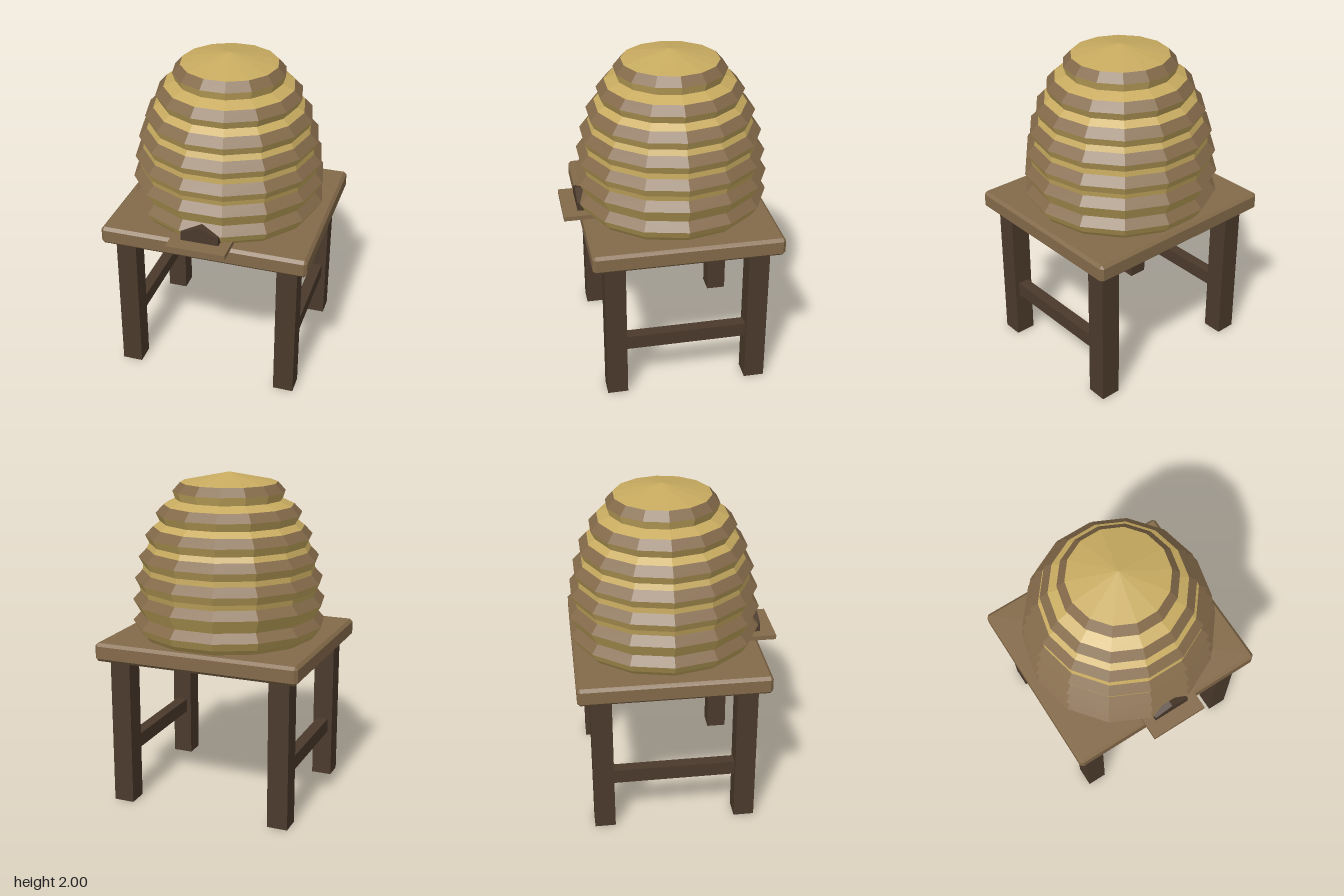
import * as THREE from 'three';
import { ConvexGeometry } from 'three/addons/geometries/ConvexGeometry.js';

const SIDES = 14;
const CENTRE_Z = -0.053;

const straw = new THREE.MeshStandardMaterial({ color: 0xc8ab60 });
straw.name = 'straw';
const wood = new THREE.MeshStandardMaterial({ color: 0x846a4a });
wood.name = 'wood';
const darkWood = new THREE.MeshStandardMaterial({ color: 0x4b3a2c });
darkWood.name = 'darkWood';

function add(parent, name, geometry, material, x = 0, y = 0, z = 0) {
  const mesh = new THREE.Mesh(geometry, material);
  mesh.name = name;
  mesh.position.set(x, y, z);
  parent.add(mesh);
  return mesh;
}

// Faceted ring between two heights, with a corner pointing along +x
function band(rTop, yTop, rBottom, yBottom) {
  const g = new THREE.CylinderGeometry(rTop, rBottom, yTop - yBottom, SIDES, 1, true)
    .rotateY(Math.PI / 2)
    .translate(0, (yTop + yBottom) / 2, 0)
    .toNonIndexed();
  g.computeVertexNormals();
  return g;
}

// Box with every edge cut back by c
function chamferedBox(w, h, d, c) {
  const points = [];
  for (const sx of [-1, 1]) for (const sy of [-1, 1]) for (const sz of [-1, 1]) {
    for (let axis = 0; axis < 3; axis++) {
      const cut = [c, c, c];
      cut[axis] = 0;
      points.push(new THREE.Vector3(sx * (w / 2 - cut[0]), sy * (h / 2 - cut[1]), sz * (d / 2 - cut[2])));
    }
  }
  return new ConvexGeometry(points);
}

function buildHive() {
  const hive = new THREE.Group();
  hive.name = 'hive';
  hive.position.z = CENTRE_Z;

  // Each coil: [upper radius, widest radius, notch radius]
  const coils = [
    [0.292, 0.338, 0.322],
    [0.392, 0.44, 0.416],
    [0.456, 0.505, 0.482],
    [0.498, 0.547, 0.522],
    [0.525, 0.573, 0.548],
    [0.54, 0.587, 0.56],
    [0.542, 0.588, 0.56],
  ];
  const top = 1.94, step = 0.1312;

  add(hive, 'crown', band(0, 2, coils[0][0], top), straw);
  coils.forEach(([upper, wide, notch], i) => {
    const y = top - i * step;
    const next = coils[i + 1] ? coils[i + 1][0] : 0.53;
    const nextY = coils[i + 1] ? y - step : 1.02;
    add(hive, 'coilTop', band(upper, y, wide, y - 0.051), wood);
    add(hive, 'coilUnderside', band(wide, y - 0.051, notch, y - 0.099), straw);
    add(hive, 'coilJoint', band(notch, y - 0.099, next, nextY), straw);
  });
  return hive;
}

function buildEntrance() {
  const entrance = new THREE.Group();
  entrance.name = 'entrance';

  add(entrance, 'landingBoard', new THREE.BoxGeometry(0.36, 0.028, 0.225), wood, 0, 1.036, 0.513);

  // Doorway block with a pointed top
  const outline = new THREE.Shape([
    [-0.115, 1.04], [0.115, 1.04], [0.115, 1.103], [0, 1.147], [-0.115, 1.103],
  ].map(([x, y]) => new THREE.Vector2(x, y)));
  const doorway = new THREE.ExtrudeGeometry(outline, { depth: 0.1, bevelEnabled: false });
  add(entrance, 'doorway', doorway, darkWood, 0, 0, 0.436);
  return entrance;
}

function buildStand() {
  const stand = new THREE.Group();
  stand.name = 'stand';

  add(stand, 'tabletop', chamferedBox(1.266, 0.112, 1.134, 0.018), wood, 0, 0.967, CENTRE_Z);

  const frontZ = 0.38, backZ = -0.483;
  for (const side of [-1, 1]) {
    const x = side * 0.503;
    for (const [name, z] of [['frontLeg', frontZ], ['backLeg', backZ]]) {
      add(stand, name, new THREE.BoxGeometry(0.125, 0.914, 0.125), darkWood, x, 0.457, z);
    }
    add(stand, 'sideRail', new THREE.BoxGeometry(0.07, 0.088, frontZ - backZ - 0.12), darkWood,
      x, 0.342, (frontZ + backZ) / 2);
  }
  return stand;
}

export function createModel() {
  const model = new THREE.Group();
  model.name = 'beehiveOnStand';
  model.add(buildStand(), buildHive(), buildEntrance());
  return model;
}
